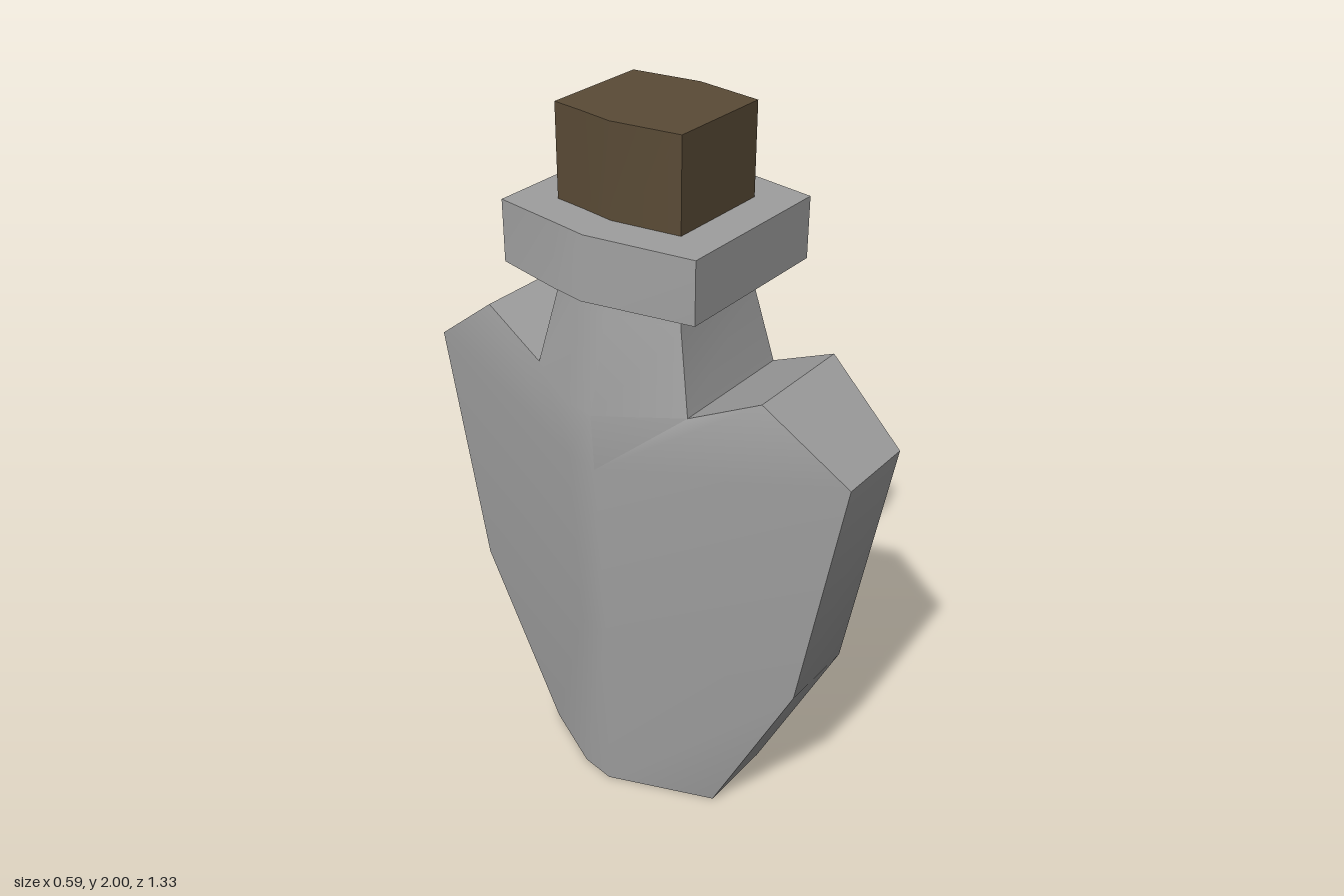
import * as THREE from 'three';
import { toCreasedNormals } from 'three/addons/utils/BufferGeometryUtils.js';

// Stacks eight-sided rings. Each ring: edge height, depth, edge half-width,
// then ridge height and the ridge's reach to the left (+x) and right (-x).
// A second, slightly lower ridge runs just behind the main one on each side.
function ridgedLoft(rings) {
  const loops = rings.map(([y, d, e, ry, left, right = left]) => [
    [left, ry, 0], [e, y, d], [-e, y, d], [-right, ry, 0],
    [0.016 - right, ry, -0.1], [-e, y, -d], [e, y, -d], [left - 0.016, ry, -0.1],
  ].map((p) => new THREE.Vector3(...p)));
  const points = [];
  const tri = (a, b, c) => {
    if (a.equals(b) || b.equals(c) || a.equals(c)) return; // collapsed on a shared point
    points.push(a, b, c);
  };
  for (let i = 0; i < loops.length - 1; i++) {
    const low = loops[i], high = loops[i + 1];
    low.forEach((corner, j) => {
      const k = (j + 1) % low.length;
      tri(low[k], corner, high[j]);
      tri(low[k], high[j], high[k]);
    });
  }
  const bottom = loops[0], top = loops[loops.length - 1];
  for (let j = 1; j < bottom.length - 1; j++) {
    tri(bottom[0], bottom[j], bottom[j + 1]);
    tri(top[0], top[j + 1], top[j]);
  }
  return toCreasedNormals(new THREE.BufferGeometry().setFromPoints(points), 0.58);
}

export function createModel() {
  const model = new THREE.Group();
  const glass = new THREE.MeshStandardMaterial({ color: 0x9f9f9f });
  const corkMaterial = new THREE.MeshStandardMaterial({ color: 0x5a4b36 });
  const add = (name, rings, material) => {
    const mesh = new THREE.Mesh(ridgedLoft(rings), material);
    mesh.name = name;
    model.add(mesh);
  };

  // Flask with pointed shoulders, notches beside the neck and a tapering base
  add('bottleBody', [
    [0, 0.295, 0.115, 0, 0.225, 0.23],
    [0.52, 0.545, 0.115, 0.54, 0.26, 0.23],
    [1.225, 0.665, 0.115, 1.1, 0.262, 0.261], // shoulder corner
    [1.4, 0.435, 0.16, 1.1, 0.262, 0.261], // shoulder peak
    [1.305, 0.24, 0.188, 1.1, 0.262, 0.261], // bottom of the notch
    [1.305, 0.24, 0.188, 1.265, 0.265, 0.27],
    [1.52, 0.193, 0.155, 1.52, 0.2],
    [1.62, 0.188, 0.15, 1.62, 0.19],
  ], glass);

  // Collar around the mouth
  add('neckCollar', [
    [1.592, 0.293, 0.237, 1.592, 0.295],
    [1.757, 0.293, 0.237, 1.757, 0.282],
  ], glass);

  // Stopper
  add('cork', [
    [1.7, 0.187, 0.15, 1.7, 0.177],
    [2, 0.187, 0.15, 2, 0.177],
  ], corkMaterial);

  return model;
}
